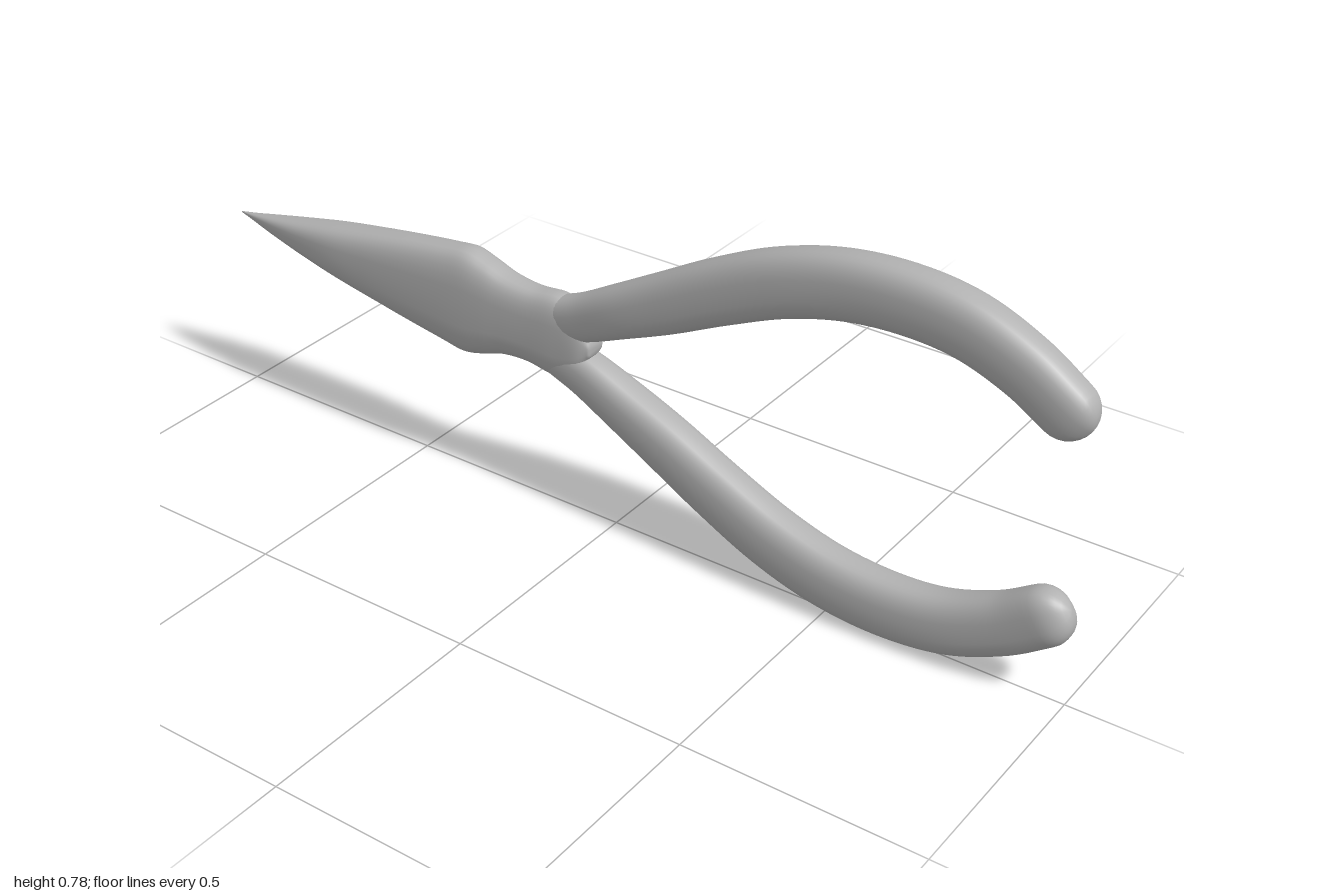
import * as THREE from 'three';

const SIDES = 28;

// Lofts rounded-box rings along a path. Rows: [z, y, half height, half width, x offset]
function loft(rows, power, roundStart, steps) {
  const smooth = (f) => new THREE.CatmullRomCurve3(rows.map(f), false, 'catmullrom', 0.5);
  const path = smooth((r) => new THREE.Vector3(r[4] || 0, r[1], r[0]));
  const size = smooth((r) => new THREE.Vector3(r[2], r[3], 0));
  const rings = [];

  // hemispherical end
  if (roundStart) {
    const p = path.getPoint(0), t = path.getTangent(0), s = size.getPoint(0);
    for (let k = 0; k < 7; k++) {
      const a = (k / 7) * Math.PI / 2;
      rings.push({ p: p.clone().addScaledVector(t, -s.x * Math.cos(a)), t, s: s.clone().multiplyScalar(Math.max(Math.sin(a), 0.001)) });
    }
  }
  for (let i = 0; i <= steps; i++) {
    const u = i / steps;
    rings.push({ p: path.getPoint(u), t: path.getTangent(u), s: size.getPoint(u) });
  }

  const pos = [], index = [];
  const bend = (v) => Math.sign(v) * Math.pow(Math.abs(v), 2 / power);
  for (const { p, t, s } of rings) {
    const len = Math.hypot(t.y, t.z);
    const ny = -t.z / len, nz = t.y / len;
    for (let j = 0; j < SIDES; j++) {
      const a = (j / SIDES) * Math.PI * 2;
      const w = bend(Math.cos(a)) * Math.max(s.y, 0.0005);
      const h = bend(Math.sin(a)) * Math.max(s.x, 0.0005);
      pos.push(p.x + w, p.y + ny * h, p.z + nz * h);
    }
  }
  // outward-facing walls
  for (let i = 0; i < rings.length - 1; i++) {
    for (let j = 0; j < SIDES; j++) {
      const k = (j + 1) % SIDES;
      const a = i * SIDES + j, b = i * SIDES + k, c = a + SIDES, d = b + SIDES;
      index.push(a, c, b, b, c, d);
    }
  }
  // end caps
  const last = (rings.length - 1) * SIDES;
  for (let j = 1; j < SIDES - 1; j++) {
    index.push(0, j, j + 1, last, last + j + 1, last + j);
  }
  const g = new THREE.BufferGeometry();
  g.setAttribute('position', new THREE.Float32BufferAttribute(pos, 3));
  g.setIndex(index);
  g.computeVertexNormals();
  return g;
}

export function createModel() {
  const group = new THREE.Group();
  const steel = new THREE.MeshStandardMaterial({ color: 0xb2b2b2 });
  steel.name = 'plain grey';

  const add = (name, geometry) => {
    const mesh = new THREE.Mesh(geometry, steel);
    mesh.name = name;
    group.add(mesh);
  };

  // Curved grips, mirrored about y = 0.39, ending inside the joint
  const grip = [
    [0.942, 0.608, 0.058, 0.042, -0.003],
    [0.86, 0.66, 0.06, 0.044, -0.003],
    [0.75, 0.702, 0.063, 0.046, -0.001],
    [0.63, 0.715, 0.065, 0.047, 0],
    [0.5, 0.704, 0.066, 0.047, 0],
    [0.37, 0.668, 0.066, 0.047, -0.002],
    [0.24, 0.61, 0.064, 0.046, -0.004],
    [0.12, 0.548, 0.06, 0.045, -0.005],
    [0.02, 0.499, 0.054, 0.043, -0.005],
    [-0.07, 0.455, 0.049, 0.038, -0.002],
    [-0.15, 0.428, 0.045, 0.032, 0],
    [-0.23, 0.414, 0.03, 0.018, 0],
  ];
  const mirrored = grip.map(([z, y, h, w, x]) => [z, 0.78 - y, h, w, -x]);
  add('upperHandle', loft(grip, 2.6, true, 72));
  add('lowerHandle', loft(mirrored, 2.6, true, 72));

  // Joint and closed jaws, tapering to a needle point
  const jaws = [
    [-0.05, 0.39, 0.012, 0.022],
    [-0.08, 0.392, 0.06, 0.034],
    [-0.13, 0.395, 0.09, 0.038],
    [-0.2, 0.398, 0.083, 0.04],
    [-0.26, 0.4, 0.088, 0.043],
    [-0.31, 0.401, 0.104, 0.046],
    [-0.36, 0.402, 0.117, 0.048],
    [-0.42, 0.404, 0.109, 0.049],
    [-0.52, 0.406, 0.093, 0.049],
    [-0.62, 0.408, 0.075, 0.048],
    [-0.72, 0.41, 0.056, 0.045],
    [-0.82, 0.411, 0.036, 0.034],
    [-0.9, 0.412, 0.02, 0.021],
    [-0.96, 0.413, 0.008, 0.009],
    [-1.0, 0.414, 0.001, 0.001],
  ];
  add('jaws', loft(jaws, 3, false, 84));

  return group;
}
